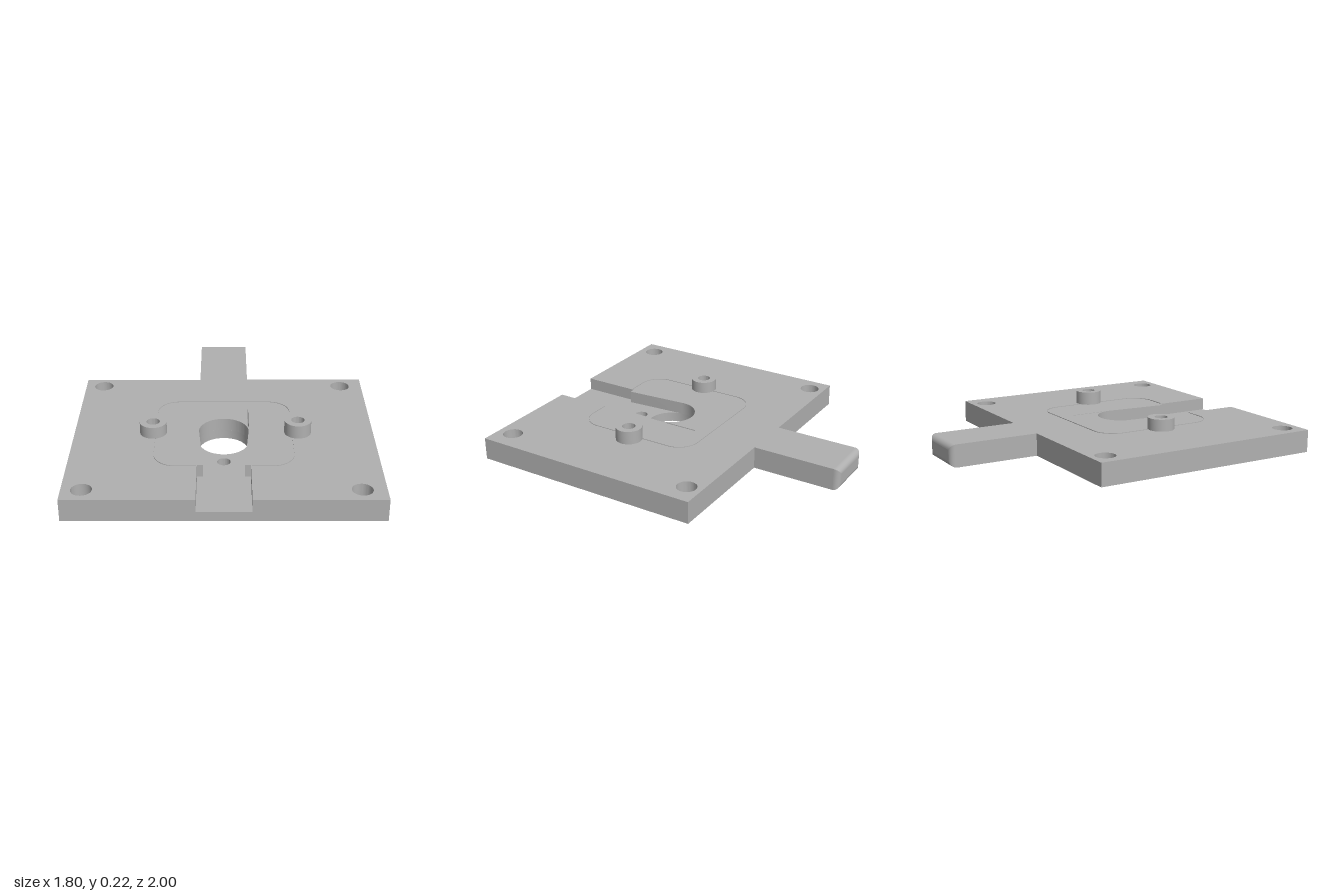
import * as THREE from 'three';
import { toCreasedNormals } from 'three/addons/utils/BufferGeometryUtils.js';

const TOP = 0.137, FLOOR = 0.06, ROUND = 0.035, TONGUE = 0.155;

// Plan shapes use (x, -z), so extrusion becomes height after the turn
function slab(shape, y0, y1) {
  const g = new THREE.ExtrudeGeometry(shape, { depth: y1 - y0, bevelEnabled: false, curveSegments: 24 });
  g.rotateX(-Math.PI / 2);
  g.translate(0, y0, 0);
  return toCreasedNormals(g, 0.5);
}

function outline(points, shape = new THREE.Shape()) {
  points.forEach(([x, z], i) => (i ? shape.lineTo(x, -z) : shape.moveTo(x, -z)));
  return shape;
}

function roundHole(x, z, r) {
  return new THREE.Path().absarc(x, -z, r, 0, Math.PI * 2, true);
}

// Corner bolt holes and the hairline slot pass through both layers
function addCommonHoles(shape) {
  for (const x of [-0.785, 0.762])
    for (const z of [-0.355, 0.897]) shape.holes.push(roundHole(x, z, 0.06));
  shape.holes.push(outline([[0.145, -0.03], [0.145, 0.185], [0.153, 0.185], [0.153, -0.03]], new THREE.Path()));
  return shape;
}

export function createModel() {
  const model = new THREE.Group();
  const metal = new THREE.MeshStandardMaterial({ color: 0xb0b0b0 });
  metal.name = 'grey metal';
  const thinMetal = new THREE.MeshStandardMaterial({ color: 0xb0b0b0, side: THREE.DoubleSide });
  thinMetal.name = 'thin grey metal';
  const add = (name, geometry, material = metal) => {
    const mesh = new THREE.Mesh(geometry, material);
    mesh.name = name;
    model.add(mesh);
    return mesh;
  };

  const back = -1 + ROUND;
  const backEdge = [[0.9, -0.45], [TONGUE, -0.45], [TONGUE, back], [-TONGUE, back], [-TONGUE, -0.45], [-0.9, -0.45]];

  // Lower layer: whole plate with tongue, including the channel floor
  const lower = addCommonHoles(outline([[-0.9, 1], [0.9, 1], ...backEdge]));
  lower.holes.push(roundHole(0, 0.24, 0.15), roundHole(0, 0.475, 0.04));
  add('lowerPlate', slab(lower, 0, FLOOR));

  // Upper layer: open at the front for the stepped channel and bore
  const upper = outline([[0.9, 1], ...backEdge, [-0.9, 1], [-TONGUE, 1], [-TONGUE, 0.64], [-0.12, 0.64]]);
  const a = 0.134;
  upper.absarc(0, -0.24, 0.15, Math.PI + a, -a, true);
  outlineEnd(upper, [[0.12, 0.64], [TONGUE, 0.64], [TONGUE, 1]]);
  add('upperPlate', slab(addCommonHoles(upper), FLOOR, TOP));

  // Tongue tip: box whose end edges are rounded
  const tip = new THREE.BoxGeometry(2 * TONGUE, TOP, ROUND, 1, 1, 8);
  const p = tip.attributes.position;
  for (let i = 0; i < p.count; i++) {
    const t = (0.5 - p.getZ(i) / ROUND) * Math.PI / 2;
    const inset = ROUND * (1 - Math.cos(t));
    p.setXYZ(i,
      p.getX(i) - Math.sign(p.getX(i)) * inset,
      p.getY(i) - Math.sign(p.getY(i)) * inset + TOP / 2,
      back - ROUND * Math.sin(t));
  }
  tip.computeVertexNormals();
  add('tongueTip', tip);

  // Two hollow bosses, the left one slightly taller
  for (const [name, x, top] of [['rightBoss', -0.425, 0.21], ['leftBoss', 0.445, 0.22]]) {
    const profile = [[0.081, TOP - 0.01], [0.081, top], [0.04, top], [0.04, TOP + 0.002], [0, TOP + 0.002]]
      .map(([r, y]) => new THREE.Vector2(r, y));
    const boss = add(name, toCreasedNormals(new THREE.LatheGeometry(profile, 40), 0.5));
    boss.position.set(x, 0, 0.255);
  }

  // Hairline rim standing just above the plate, open across the channel
  const rim = new THREE.Path();
  const hw = 0.41, z0 = -0.13, z1 = 0.65, r = 0.13;
  rim.moveTo(0.16, z1);
  rim.lineTo(hw - r, z1);
  rim.absarc(hw - r, z1 - r, r, Math.PI / 2, 0, true);
  rim.absarc(hw - r, z0 + r, r, 0, -Math.PI / 2, true);
  rim.absarc(-hw + r, z0 + r, r, -Math.PI / 2, -Math.PI, true);
  rim.absarc(-hw + r, z1 - r, r, Math.PI, Math.PI / 2, true);
  rim.lineTo(-0.16, z1);
  const pts = rim.getPoints(8);
  const ribbon = new THREE.PlaneGeometry(1, 1, pts.length - 1, 1);
  pts.forEach((q, i) => {
    ribbon.attributes.position.setXYZ(i, q.x, TOP + 0.004, q.y);
    ribbon.attributes.position.setXYZ(i + pts.length, q.x, TOP - 0.004, q.y);
  });
  ribbon.computeVertexNormals();
  add('hairlineRim', ribbon, thinMetal);

  return model;
}

// Continues a plan outline with straight edges
function outlineEnd(shape, points) {
  points.forEach(([x, z]) => shape.lineTo(x, -z));
}
